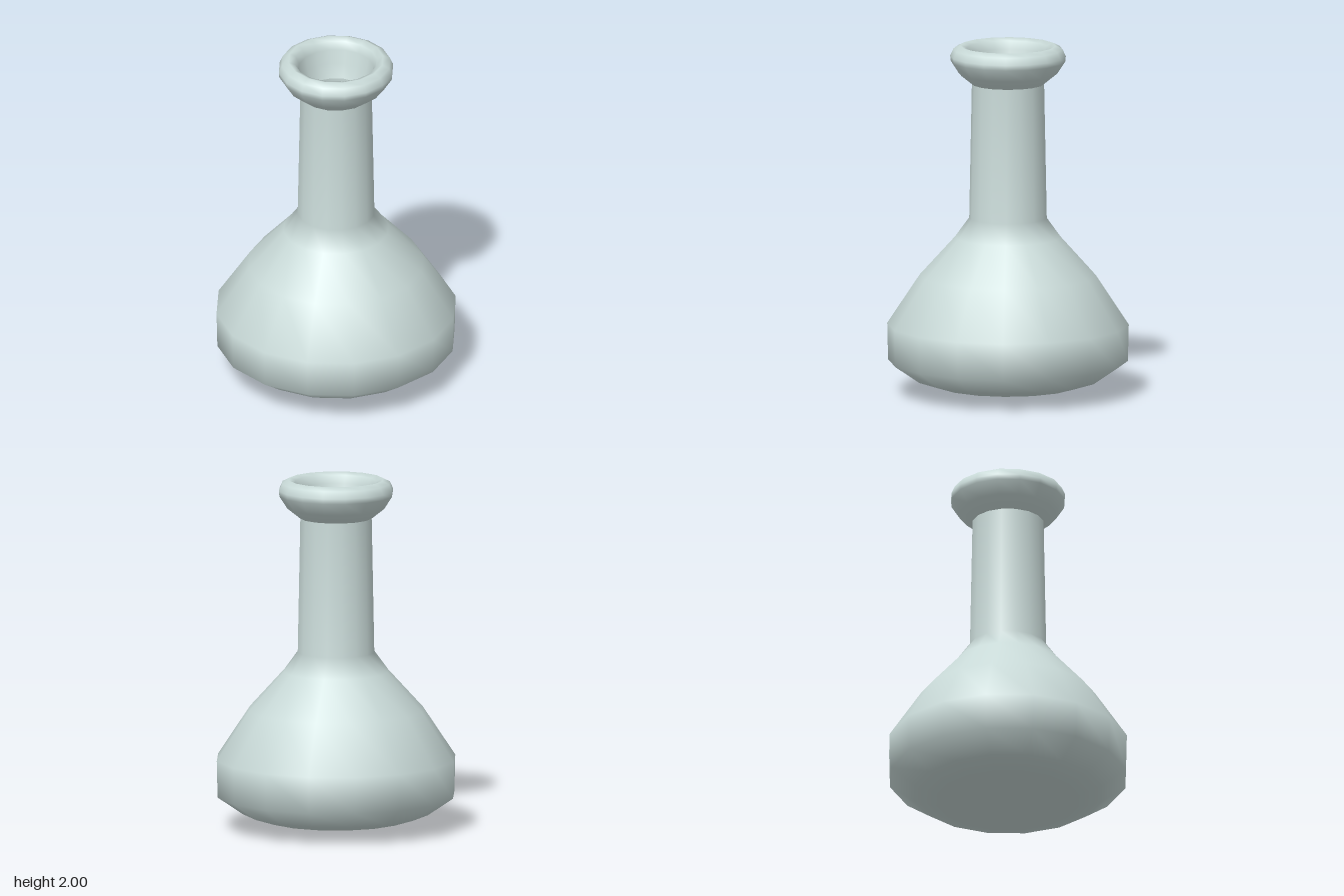
import * as THREE from 'three';

const SIDES = 16;

// Revolve a list of [radius, height] pairs, given from bottom to top
function revolve(name, profile, color) {
  const points = profile.map(([r, y]) => new THREE.Vector2(r, y));
  const mesh = new THREE.Mesh(
    new THREE.LatheGeometry(points, SIDES),
    new THREE.MeshStandardMaterial({ color, side: THREE.DoubleSide })
  );
  mesh.name = name;
  return mesh;
}

export function createModel() {
  const group = new THREE.Group();
  group.name = 'flask';
  const glass = 0xc9dad8;

  // Rounded body with a shallow pointed base, running up into the neck
  group.add(revolve('bodyAndNeck', [
    [0, 0], [0.41, 0.05], [0.535, 0.09], [0.68, 0.19], [0.685, 0.4],
    [0.5, 0.68], [0.3, 0.9], [0.22, 1.01], [0.205, 1.78],
  ], glass));

  // Rolled lip, turning over into the mouth
  group.add(revolve('lip', [
    [0.205, 1.78], [0.28, 1.84], [0.325, 1.91], [0.328, 1.94], [0.31, 1.98],
    [0.27, 2], [0.235, 1.985], [0.215, 1.94], [0.2, 1.86], [0.17, 1.78],
  ], glass));

  // Inner wall of the neck and shoulder, listed downwards so it faces inwards
  group.add(revolve('innerWall', [
    [0.17, 1.78], [0.19, 1.01], [0.28, 0.88], [0.47, 0.67],
  ], glass));

  // Liquid filling the body
  group.add(revolve('liquid', [
    [0, 0.04], [0.4, 0.09], [0.64, 0.21], [0.645, 0.39], [0.47, 0.66],
  ], 0x9c8510));
  const surface = new THREE.Mesh(
    new THREE.CircleGeometry(0.47, SIDES),
    new THREE.MeshStandardMaterial({ color: 0x9c8510 })
  );
  surface.name = 'liquidSurface';
  surface.rotation.x = -Math.PI / 2;
  surface.position.y = 0.66;
  group.add(surface);

  return group;
}
